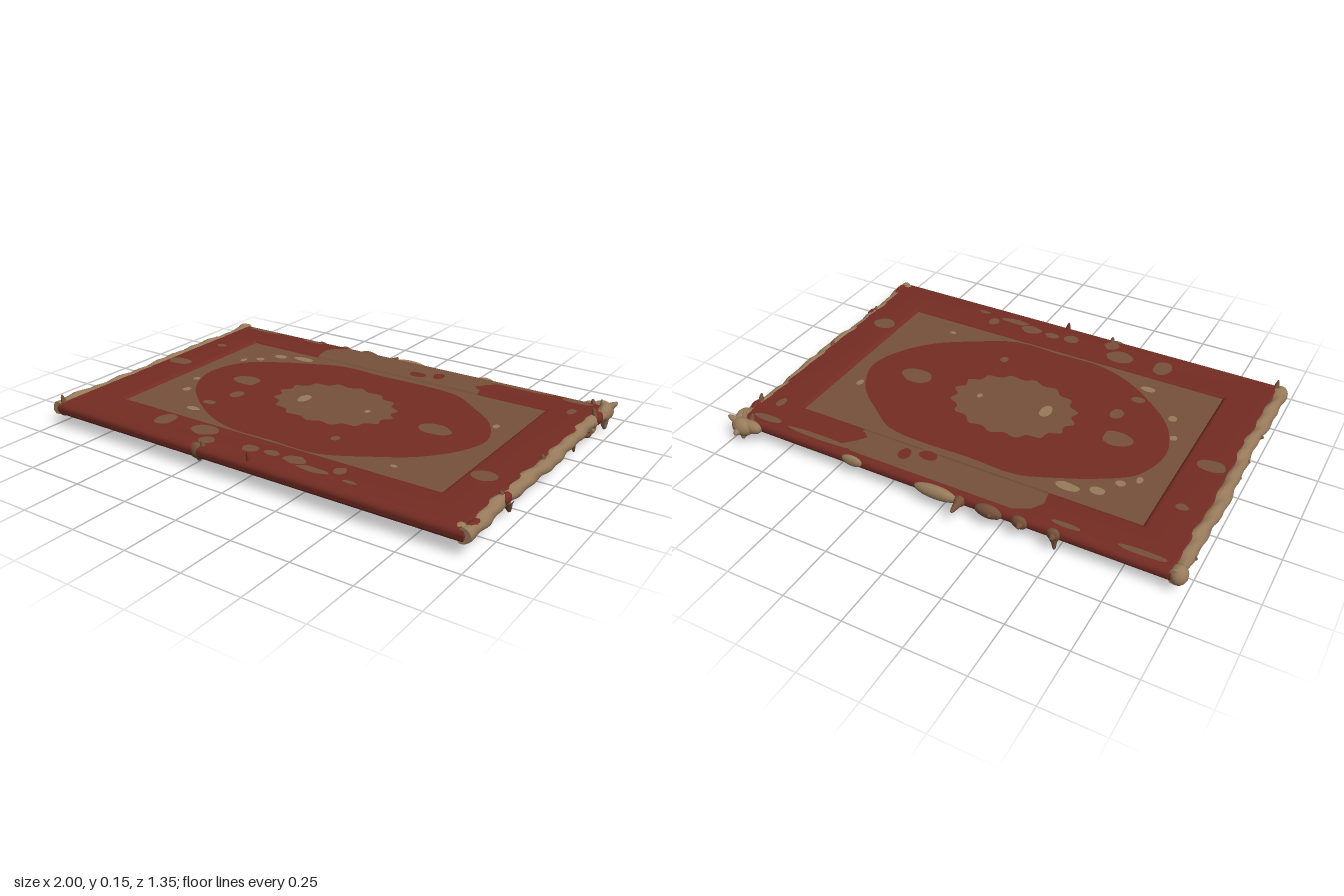
import * as THREE from 'three';
import { toCreasedNormals } from 'three/addons/utils/BufferGeometryUtils.js';

const paint = (name, hex) => Object.assign(new THREE.MeshStandardMaterial({ color: hex }), { name });

export function createModel() {
  const red = paint('madder red', 0x742c23);
  const brown = paint('worn brown', 0x76513a);
  const tan = paint('frayed tan', 0x987b5b);
  const rug = new THREE.Group();
  rug.name = 'rug';

  let seed = 7;
  const rnd = () => (seed = (seed * 16807) % 2147483647) / 2147483647;
  const add = (name, geo, mat, x = 0, y = 0, z = 0) => {
    const m = new THREE.Mesh(geo, mat);
    m.name = name;
    m.position.set(x, y, z);
    rug.add(m);
    return m;
  };

  // Flat painted patch from [x, z] points, facing up or down
  const patch = (name, pts, mat, y, { down = false, smooth = true } = {}) => {
    let v = pts.map(([x, z]) => new THREE.Vector2(x, down ? z : -z));
    if (smooth) {
      const c = new THREE.CatmullRomCurve3(v.map(p => new THREE.Vector3(p.x, p.y, 0)), true);
      v = c.getPoints(pts.length * 4).slice(0, -1).map(p => new THREE.Vector2(p.x, p.y));
    }
    const g = new THREE.ShapeGeometry(new THREE.Shape(v));
    g.rotateX(down ? Math.PI / 2 : -Math.PI / 2);
    return add(name, g, mat, 0, y, 0);
  };
  // Wobbly ellipse outline
  const oval = (x, z, rx, rz, n = 9, wob = 0.2) => Array.from({ length: n }, (_, i) => {
    const a = i / n * Math.PI * 2, k = 1 + (rnd() - 0.5) * wob;
    return [x + Math.cos(a) * rx * k, z + Math.sin(a) * rz * k];
  });
  const rect = (x0, x1, z0, z1) => [[x0, z0], [x1, z0], [x1, z1], [x0, z1]];

  // Raised border with rounded edges, and the sunken field inside it
  const frame = new THREE.Shape(rect(-0.935, 0.935, -0.645, 0.582).map(p => new THREE.Vector2(...p)));
  frame.holes.push(new THREE.Path(rect(-0.79, 0.79, -0.49, 0.45).map(p => new THREE.Vector2(...p))));
  const frameGeo = new THREE.ExtrudeGeometry(frame, {
    depth: 0.004, bevelThickness: 0.028, bevelSize: 0.028, bevelSegments: 5,
  });
  frameGeo.rotateX(-Math.PI / 2);
  add('border', toCreasedNormals(frameGeo, 0.6), red, 0, 0.083, 0);
  add('field', new THREE.BoxGeometry(1.56, 0.046, 0.92), brown, 0, 0.08, 0.02);

  // Oval ring and scalloped medallion, on both faces
  const ring = [[-0.69, 0], [-0.64, -0.17], [-0.52, -0.26], [-0.38, -0.33], [-0.22, -0.39], [0, -0.385],
    [0.2, -0.39], [0.38, -0.37], [0.5, -0.29], [0.63, -0.18], [0.7, -0.02], [0.66, 0.12], [0.55, 0.26],
    [0.4, 0.36], [0.22, 0.45], [0, 0.45], [-0.2, 0.45], [-0.35, 0.4], [-0.5, 0.3], [-0.63, 0.17]];
  const medallion = Array.from({ length: 32 }, (_, i) => {
    const a = i / 32 * Math.PI * 2, k = i % 2 ? 0.94 : 1.04;
    return [Math.cos(a) * 0.275 * k, 0.005 + Math.sin(a) * 0.2 * k];
  });
  patch('ovalRing', ring, red, 0.104);
  patch('medallion', medallion, brown, 0.105);
  patch('undersideField', rect(-0.8, 0.925, -0.575, 0.635), brown, 0.0545, { down: true, smooth: false });
  patch('undersideRing', ring, red, 0.0535, { down: true });
  patch('undersideMedallion', medallion, brown, 0.0525, { down: true });
  for (const [x, rx] of [[-0.48, 0.065], [0.48, 0.075]]) {
    const o = oval(x, 0, rx, 0.047);
    patch('ringSpot', o, brown, 0.105);
    patch('undersideSpot', o, brown, 0.0525, { down: true });
  }

  // Threadbare area at the back, running over the step into the field
  const slope = new THREE.CylinderGeometry(0.0288, 0.0288, 0.84, 24);
  slope.rotateZ(Math.PI / 2);
  add('wornStep', slope, brown, 0.03, 0.087, -0.45);
  patch('wornBack', [[-0.39, -0.45], [-0.4, -0.5], [-0.37, -0.55], [-0.31, -0.583], [0.42, -0.583], [0.48, -0.56],
    [0.44, -0.52], [0.41, -0.48], [0.45, -0.45]], brown, 0.1162, { smooth: false });
  for (const [x, z, rx, rz] of [[0.13, -0.465, 0.04, 0.025], [0.22, -0.5, 0.025, 0.035]])
    patch('redRemnant', oval(x, z, rx, rz), red, 0.117);

  // Worn spots on the border: x, z, half width, half depth
  for (const [x, z, rx, rz] of [[-0.86, -0.28, 0.025, 0.018], [-0.88, 0, 0.06, 0.035], [0.84, 0.285, 0.052, 0.042],
    [-0.46, 0.545, 0.04, 0.052], [-0.26, 0.54, 0.06, 0.045], [-0.19, 0.61, 0.035, 0.032], [0, 0.575, 0.035, 0.028],
    [0.09, 0.56, 0.035, 0.022], [0.2, 0.56, 0.05, 0.03], [0.3, 0.59, 0.07, 0.018], [0.39, 0.545, 0.025, 0.03],
    [0.47, 0.6, 0.03, 0.01], [0.58, -0.572, 0.15, 0.013], [0.85, -0.565, 0.07, 0.018], [-0.82, -0.57, 0.09, 0.014],
    [-0.52, -0.57, 0.06, 0.012], [0.87, -0.45, 0.018, 0.03]])
    patch('wornSpot', oval(x, z, rx, rz), brown, 0.1162);

  // Pale bald specks
  for (const [x, z, rx, rz] of [[-0.14, 0.03, 0.026, 0.042], [-0.54, -0.33, 0.03, 0.022], [-0.43, -0.362, 0.05, 0.022],
    [0.67, -0.16, 0.015, 0.022], [-0.68, 0.11, 0.015, 0.018], [-0.46, 0.38, 0.032, 0.018], [0.52, 0.38, 0.016, 0.01],
    [0.16, 0, 0.013, 0.016], [-0.66, -0.2, 0.013, 0.022], [-0.6, -0.25, 0.02, 0.018], [-0.63, 0.23, 0.018, 0.02]])
    patch('baldSpeck', oval(x, z, rx, rz, 7), tan, 0.106);
  for (const [x, z, rx, rz] of [[-0.41, 0.155, 0.028, 0.035], [0.2, 0.295, 0.018, 0.02], [-0.45, 0.29, 0.03, 0.02]])
    patch('ringSpeck', oval(x, z, rx, rz, 7), brown, 0.105);

  // Lumpy frayed rolls along both ends
  for (const [x, r, ph] of [[-0.962, 0.031, 0], [0.953, 0.029, 2]]) {
    const g = new THREE.CylinderGeometry(r, r, 1.27, 12, 60);
    const p = g.attributes.position;
    for (let i = 0; i < p.count; i++) {
      const y = p.getY(i), a = Math.atan2(p.getZ(i), p.getX(i));
      const k = 1 + 0.1 * Math.sin(y * 23 + ph + 2 * a) + 0.1 * Math.sin(y * 51 + 3 * a);
      p.setXYZ(i, p.getX(i) * k + 0.006 * Math.sin(y * 9 + ph), y, p.getZ(i) * k);
    }
    g.rotateX(Math.PI / 2);
    g.computeVertexNormals();
    add('frayedEnd', g, tan, x, 0.085, 0.03);
  }

  // Lumps of loose pile: material, centre, half sizes
  for (const [mat, x, y, z, sx, sy, sz] of [
    [tan, 0.94, 0.08, -0.625, 0.05, 0.042, 0.035], [tan, 0.9, 0.085, -0.615, 0.05, 0.03, 0.025],
    [tan, 0.965, 0.09, -0.585, 0.028, 0.04, 0.05], [tan, -0.965, 0.085, -0.58, 0.035, 0.042, 0.038],
    [tan, -0.955, 0.08, 0.635, 0.03, 0.035, 0.035], [tan, 0.935, 0.085, 0.64, 0.03, 0.034, 0.03],
    [tan, 0.01, 0.085, -0.608, 0.1, 0.03, 0.024], [brown, -0.22, 0.085, -0.608, 0.06, 0.03, 0.022],
    [brown, -0.35, 0.085, -0.607, 0.035, 0.03, 0.016], [brown, -0.49, 0.085, -0.605, 0.03, 0.028, 0.016],
    [tan, 0.4, 0.09, -0.607, 0.05, 0.025, 0.014], [brown, -0.2, 0.085, 0.652, 0.04, 0.034, 0.022],
    [brown, 0.955, 0.055, -0.42, 0.02, 0.022, 0.03], [tan, 0.95, 0.055, -0.47, 0.022, 0.025, 0.03],
    [red, 0.963, 0.092, -0.5, 0.022, 0.028, 0.04], [red, 0.962, 0.098, 0.61, 0.02, 0.022, 0.05],
    [red, 0.963, 0.095, 0.36, 0.02, 0.022, 0.03]])
    add('pileLump', new THREE.SphereGeometry(1, 14, 10), mat, x, y, z).scale.set(sx, sy, sz);

  // Stray thread tufts: material, base, tip, base radius
  const up = new THREE.Vector3(0, 1, 0);
  const tuft = (mat, from, to, r) => {
    const a = new THREE.Vector3(...from), d = new THREE.Vector3(...to).sub(a), h = d.length();
    const prof = [[r, 0], [r * 0.6, h * 0.35], [r * 0.38, h * 0.75], [r * 0.2, h * 0.95], [0, h]];
    const g = new THREE.LatheGeometry(prof.map(p => new THREE.Vector2(...p)), 8);
    add('tuft', g, mat, ...from).quaternion.setFromUnitVectors(up, d.normalize());
  };
  for (const [x, len] of [[-0.49, 0.03], [-0.355, 0.035], [-0.23, 0.03], [-0.095, 0.075]])
    tuft(brown, [x, 0.085, -0.605], [x - 0.005, 0.085, -0.605 - len], 0.026);
  for (const z of [-0.49, -0.27, -0.12, 0.01, 0.12, 0.3, 0.47])
    tuft(brown, [-0.96, 0.085, z], [-0.998, 0.088, z + 0.01], 0.022);
  for (const z of [-0.43, -0.2, 0.02, 0.3, 0.37])
    tuft(brown, [0.955, 0.085, z], [0.985, 0.08, z - 0.01], 0.022);
  for (const [z, y, r] of [[0.33, 0.02, 0.028], [-0.26, 0.025, 0.018], [-0.41, 0.035, 0.026], [-0.6, 0, 0.035]])
    tuft(z > -0.5 ? brown : tan, [0.955, 0.075, z], [0.96, y, z - 0.015], r);
  for (const [x, z, y, mat] of [[0.955, 0.37, 0.13, brown], [0.955, 0.02, 0.132, brown], [0.96, -0.48, 0.147, brown],
    [0.95, -0.6, 0.142, tan], [-0.945, 0.645, 0.147, brown], [0.055, 0.645, 0.148, red], [-0.17, 0.645, 0.135, brown],
    [0.91, -0.6, 0.135, brown]])
    tuft(mat, [x, 0.095, z], [x - 0.005, y, z + 0.01], 0.02);
  tuft(tan, [0.95, 0.085, -0.62], [1, 0.125, -0.635], 0.03);
  tuft(tan, [0.95, 0.075, -0.63], [0.94, 0.07, -0.678], 0.03);
  tuft(brown, [-0.49, 0.065, -0.6], [-0.495, 0.01, -0.605], 0.02);
  tuft(brown, [-0.2, 0.065, 0.64], [-0.2, 0.038, 0.645], 0.025);
  tuft(tan, [0.94, 0.07, 0.6], [0.945, 0.04, 0.6], 0.025);
  return rug;
}
